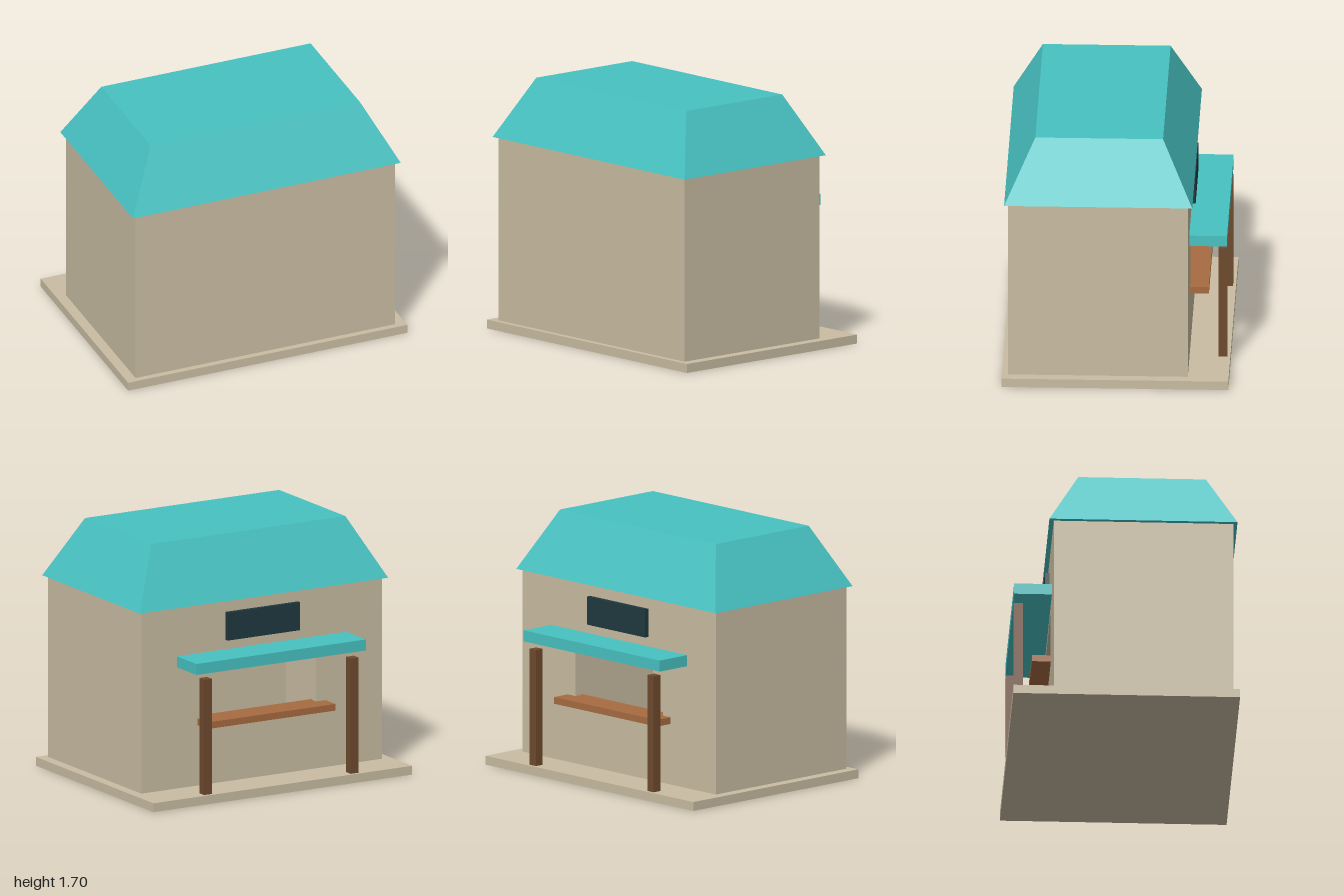
import * as THREE from 'three';

const mat = (name, color) => {
  const m = new THREE.MeshStandardMaterial({ color });
  m.name = name;
  return m;
};

export function createModel() {
  const model = new THREE.Group();
  model.name = 'kiosk';

  const sand = mat('sand', 0xc9bda2);
  const teal = mat('teal', 0x48c2c2);
  const darkWood = mat('dark wood', 0x6f4a2e);
  const lightWood = mat('light wood', 0xa76b40);
  const slate = mat('slate', 0x20393f);

  const add = (name, geometry, material) => {
    const mesh = new THREE.Mesh(geometry, material);
    mesh.name = name;
    model.add(mesh);
    return mesh;
  };
  // Box given by its extents on each axis
  const box = (name, material, [x0, x1], [y0, y1], [z0, z1]) => {
    const mesh = add(name, new THREE.BoxGeometry(x1 - x0, y1 - y0, z1 - z0), material);
    mesh.position.set((x0 + x1) / 2, (y0 + y1) / 2, (z0 + z1) / 2);
    return mesh;
  };

  const floorY = 0.06, wallTop = 1.295, halfW = 0.93, t = 0.05;
  const backZ = -0.48, frontZ = 0.71;

  // Floor slab
  box('base', sand, [-1, 1], [0, floorY], [-0.75, 0.75]);

  // Hollow room: front and side walls
  box('frontWall', sand, [-halfW, halfW], [floorY, wallTop], [frontZ - t, frontZ]);
  for (const [name, x] of [['leftWall', halfW - t], ['rightWall', -halfW]]) {
    box(name, sand, [x, x + t], [floorY, wallTop], [backZ + t, frontZ - t]);
  }

  // Back wall with the serving hatch cut out
  const rect = (path, x, y0, y1) =>
    path.moveTo(-x, y0).lineTo(x, y0).lineTo(x, y1).lineTo(-x, y1).closePath();
  const wall = rect(new THREE.Shape(), halfW, floorY, wallTop);
  wall.holes.push(rect(new THREE.Path(), 0.42, 0.48, 0.845));
  add('servingWall', new THREE.ExtrudeGeometry(wall, { depth: t, bevelEnabled: false }), sand)
    .position.z = backZ;

  // Roof: a box whose top is drawn inwards on all four sides
  const roof = new THREE.BoxGeometry(1.92, 0.405, 1.245);
  const p = roof.attributes.position;
  for (let i = 0; i < p.count; i++) {
    if (p.getY(i) > 0) {
      p.setX(i, Math.sign(p.getX(i)) * 0.75);
      p.setZ(i, Math.sign(p.getZ(i)) * 0.4225);
    }
  }
  roof.computeVertexNormals();
  add('roof', roof, teal).position.set(0, wallTop + 0.2025, 0.1125);

  // Awning, its posts, the counter and the sign board
  box('awning', teal, [-0.655, 0.655], [0.885, 0.96], [-0.73, backZ]);
  for (const [name, x] of [['leftPost', 0.567], ['rightPost', -0.567]]) {
    box(name, darkWood, [x - 0.03, x + 0.03], [floorY, 0.845], [-0.73, -0.67]);
  }
  box('counter', lightWood, [-0.495, 0.495], [0.47, 0.515], [-0.605, -0.405]);
  box('signBoard', slate, [-0.28, 0.28], [1.025, 1.215], [-0.51, backZ]);

  return model;
}
